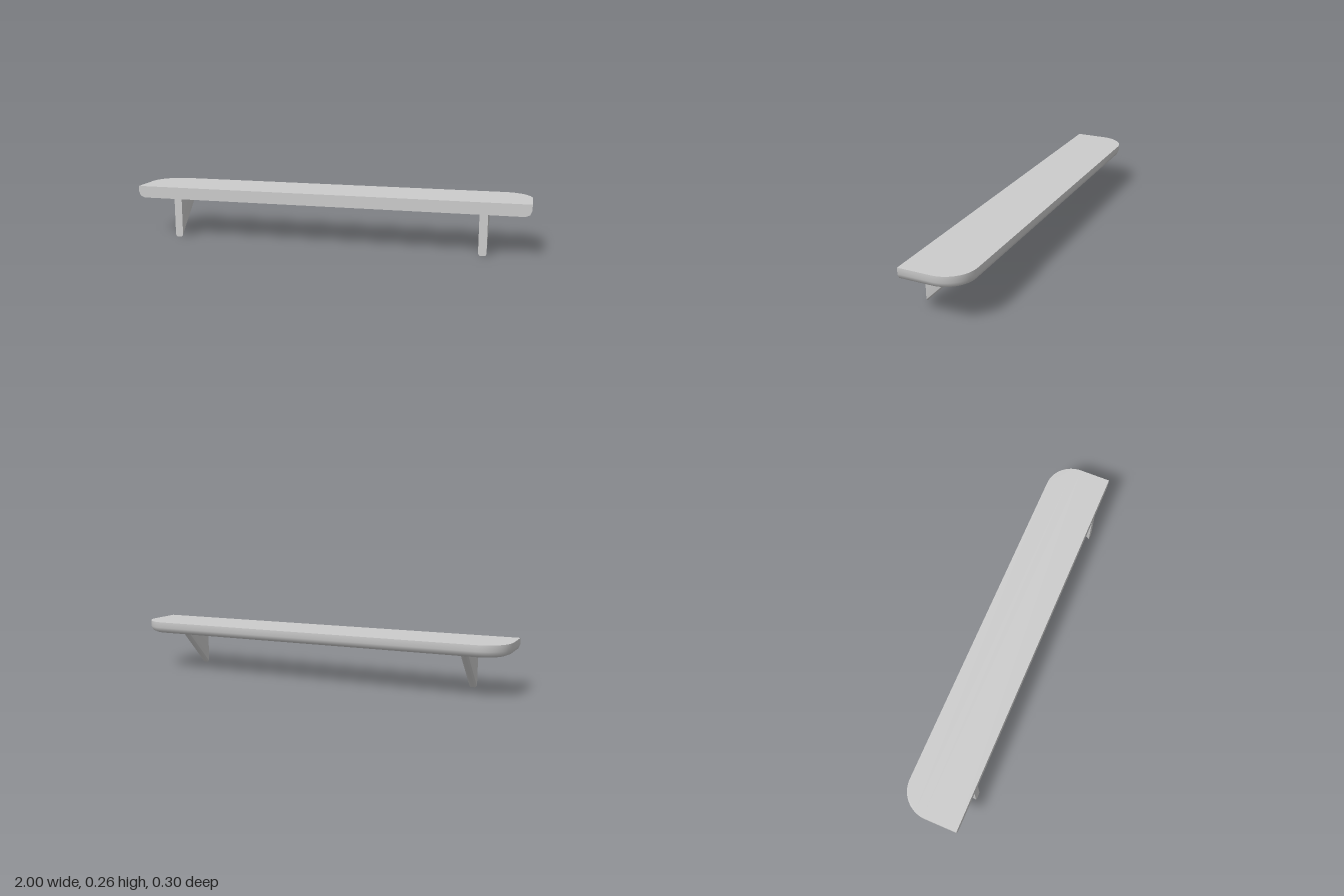
import * as THREE from 'three';
import { toCreasedNormals } from 'three/addons/utils/BufferGeometryUtils.js';

const material = new THREE.MeshStandardMaterial({ color: 0xcccccc });

// Move every vertex of a geometry by a rule
function reshape(geometry, rule) {
  const pos = geometry.attributes.position;
  const v = new THREE.Vector3();
  for (let i = 0; i < pos.count; i++) {
    rule(v.fromBufferAttribute(pos, i));
    pos.setXYZ(i, v.x, v.y, v.z);
  }
  return toCreasedNormals(geometry, 0.9);
}

// Board with two rounded back corners and a filleted lower edge
function shelfGeometry() {
  const r = 0.14, halfX = 1, halfZ = 0.15;
  const coreX = halfX - r, coreZ = r - halfZ;
  const outline = new THREE.Shape();
  outline.moveTo(-halfX, -halfZ);
  outline.lineTo(halfX, -halfZ);
  outline.absarc(coreX, halfZ - r, r, 0, Math.PI / 2);
  outline.absarc(-coreX, halfZ - r, r, Math.PI / 2, Math.PI);
  outline.closePath();

  // inset and height of each level, bottom to top
  const levels = [[0.03, 0.2], [0.009, 0.209], [0, 0.23], [0, 0.26]];
  const geometry = new THREE.ExtrudeGeometry(outline, {
    depth: 3, steps: 3, bevelEnabled: false, curveSegments: 10,
  });
  geometry.rotateX(-Math.PI / 2);
  return reshape(geometry, (v) => {
    const [inset, height] = levels[Math.round(v.y)];
    const cx = THREE.MathUtils.clamp(v.x, -coreX, coreX);
    const cz = Math.max(v.z, coreZ);
    const k = 1 - inset / r;
    v.set(cx + (v.x - cx) * k, height, cz + (v.z - cz) * k);
  });
}

// Triangular bracket: a U section swept along the 45 degree slope to the board
function bracketGeometry() {
  const w = 0.02, top = 0.2, rx = 0.012, ry = 0.017;
  const section = new THREE.Shape();
  section.moveTo(w, top);
  section.lineTo(-w, top);
  section.lineTo(-w, ry);
  section.absellipse(-w + rx, ry, rx, ry, Math.PI, Math.PI * 1.5);
  section.absellipse(w - rx, ry, rx, ry, Math.PI * 1.5, Math.PI * 2);
  section.closePath();

  const geometry = new THREE.ExtrudeGeometry(section, {
    depth: 1, bevelEnabled: false, curveSegments: 4,
  });
  return reshape(geometry, (v) => {
    if (v.z > 0.5) v.z = 0.15;
    else v.set(v.x, top, v.y - 0.05);
  });
}

export function createModel() {
  const model = new THREE.Group();
  model.name = 'wallShelf';

  const shelf = new THREE.Mesh(shelfGeometry(), material);
  shelf.name = 'shelfBoard';
  model.add(shelf);

  const bracket = bracketGeometry();
  for (const [name, x] of [['leftBracket', 0.78], ['rightBracket', -0.78]]) {
    const mesh = new THREE.Mesh(bracket, material);
    mesh.name = name;
    mesh.position.x = x;
    model.add(mesh);
  }
  return model;
}
